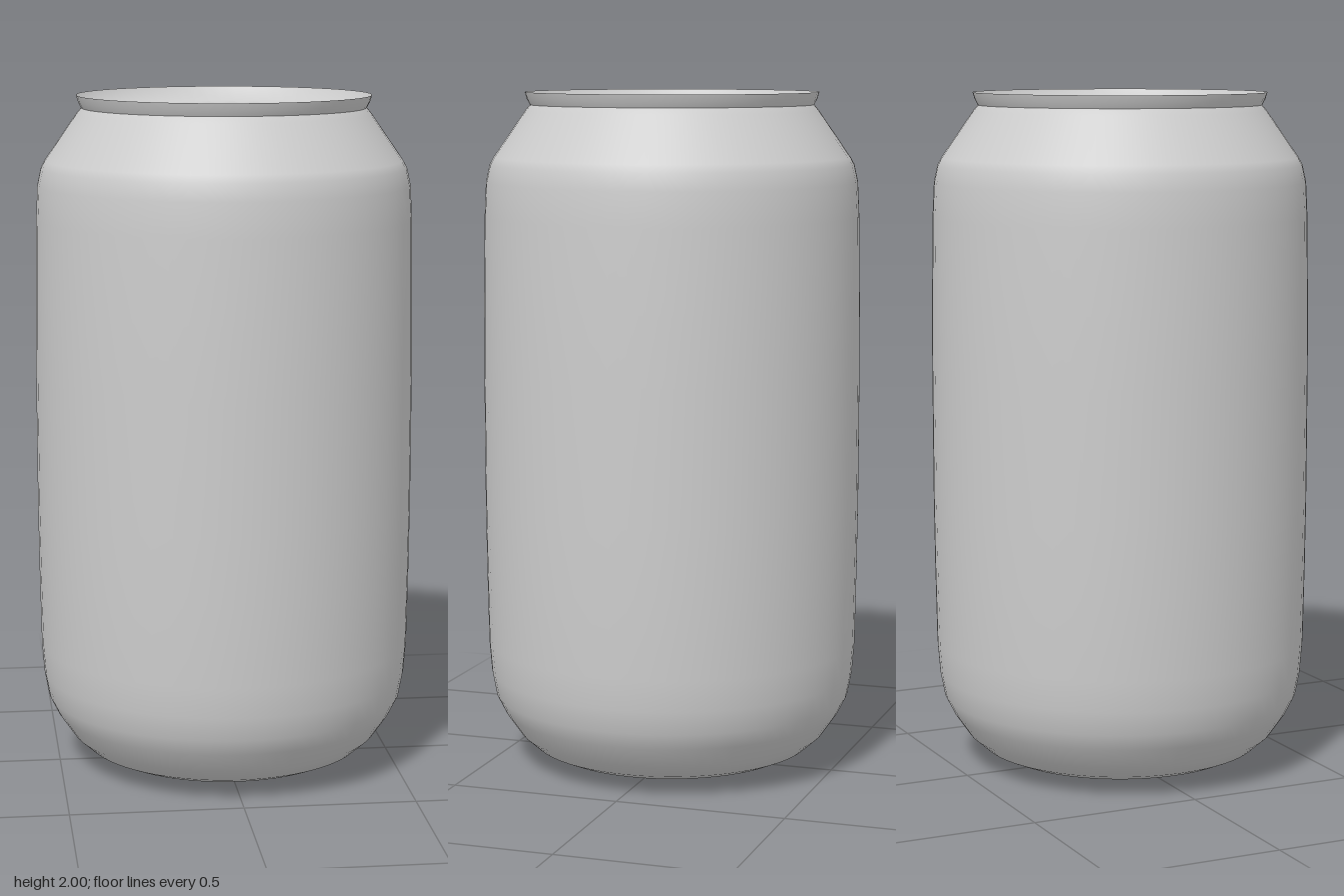
import * as THREE from 'three';

const SEGMENTS = 64;

// Lathe from [radius, height] pairs; ring number `zigzag` is scaled on every
// other column so the smooth shading fans out in small teeth.
function turned(name, profile, material, zigzag = -1, scale = 1) {
  const points = profile.map(([r, y]) => new THREE.Vector2(r, y));
  const geometry = new THREE.LatheGeometry(points, SEGMENTS);
  if (zigzag >= 0) {
    const pos = geometry.attributes.position;
    for (let column = 0; column <= SEGMENTS; column += 2) {
      const i = column * points.length + zigzag;
      pos.setXYZ(i, pos.getX(i) * scale, pos.getY(i) * scale, pos.getZ(i) * scale);
    }
  }
  const mesh = new THREE.Mesh(geometry, material);
  mesh.name = name;
  return mesh;
}

export function createModel() {
  const group = new THREE.Group();
  group.name = 'drinkCan';
  const aluminium = new THREE.MeshStandardMaterial({ color: 0xcccccc, side: THREE.DoubleSide });
  aluminium.name = 'aluminium';

  // Shallow conical base, rounded foot, straight wall and sloping neck
  group.add(turned('body', [
    [0, 0], [0.29, 0.0275], [0.37, 0.035], [0.415, 0.055], [0.46, 0.095], [0.505, 0.16],
    [0.53, 0.21], [0.543, 0.28], [0.55, 0.37], [0.554, 0.6], [0.556, 0.8], [0.556, 1.2],
    [0.554, 1.4], [0.55, 1.64], [0.545, 1.74], [0.534, 1.79], [0.522, 1.812],
    [0.43, 1.945], [0.415, 1.963],
  ], aluminium, 1, 1.2));

  // Flared rim
  group.add(turned('rim', [[0.415, 1.963], [0.424, 1.98], [0.43, 2]], aluminium));

  // Recessed lid with its sloping inner wall
  const lid = turned('lid', [[0.43, 0.045], [0.401, 0], [0.3, 0], [0, 0]], aluminium, 2, 1.3);
  lid.position.y = 1.955;
  group.add(lid);

  return group;
}
